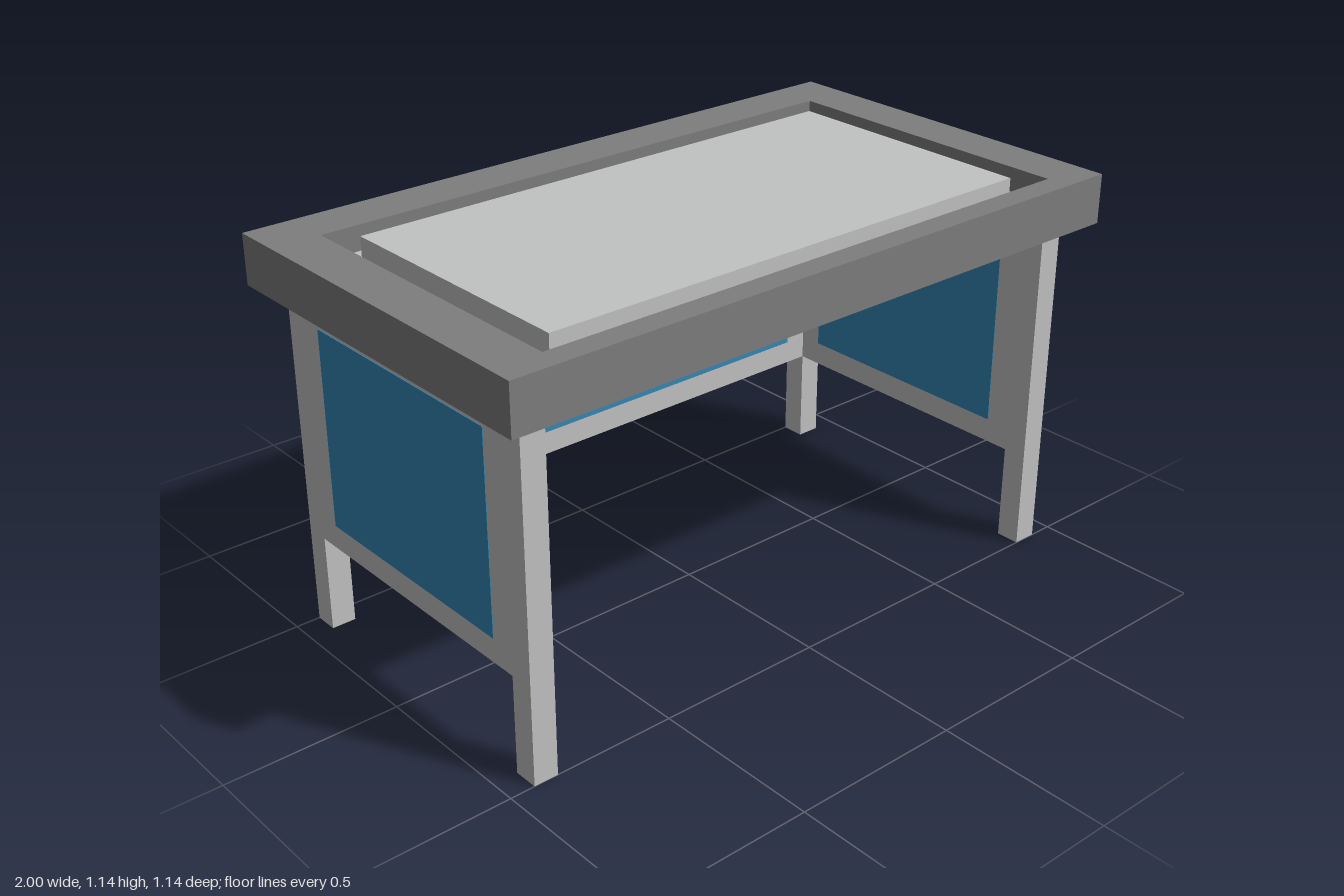
import * as THREE from 'three';

export function createModel() {
  const model = new THREE.Group();
  model.name = 'desk';

  const lightGrey = new THREE.MeshStandardMaterial({ name: 'lightGrey', color: 0xc1c3c2 });
  const darkGrey = new THREE.MeshStandardMaterial({ name: 'darkGrey', color: 0x7e7e7e });
  const blue = new THREE.MeshStandardMaterial({ name: 'blue', color: 0x3588b7 });

  // All sizes are multiples of one module, 1/14 unit.
  const U = 1 / 14;

  // Box given by its lower and upper corners, in modules.
  function box(name, material, [x0, y0, z0], [x1, y1, z1]) {
    const mesh = new THREE.Mesh(
      new THREE.BoxGeometry((x1 - x0) * U, (y1 - y0) * U, (z1 - z0) * U), material);
    mesh.position.set((x0 + x1) / 2 * U, (y0 + y1) / 2 * U, (z0 + z1) / 2 * U);
    mesh.name = name;
    model.add(mesh);
  }

  // Legs and side panels, mirrored left and right
  const T = 0.03; // how far a blue inlay stands proud of its panel
  for (const [side, s] of [['left', 1], ['right', -1]]) {
    const x0 = s > 0 ? 12 : -13;
    const x1 = x0 + 1;
    box(side + 'FrontLeg', lightGrey, [x0, 0, 6], [x1, 14, 7]);
    box(side + 'BackLeg', lightGrey, [x0, 0, -7], [x1, 14, -6]);
    box(side + 'Panel', lightGrey, [x0, 4, -6], [x1, 14, 6]);
    box(side + 'InlayLow', blue, [x0 - T, 5, -5], [x0, 13, 5]);
    box(side + 'InlayHigh', blue, [x1, 5, -5], [x1 + T, 13, 5]);
  }

  // Back panel with an inlay on each face
  box('backPanel', lightGrey, [-12, 4, -7], [12, 14, -6]);
  box('backInlayInside', blue, [-11, 5, -6], [11, 13, -6 + T]);
  box('backInlayOutside', blue, [-11, 5, -7 - T], [11, 13, -7]);

  // Table top frame: a rim around an opening set towards the front
  const rim = new THREE.Shape();
  rim.moveTo(-14 * U, -8 * U).lineTo(14 * U, -8 * U).lineTo(14 * U, 8 * U).lineTo(-14 * U, 8 * U).closePath();
  const opening = new THREE.Path();
  opening.moveTo(-12 * U, -7 * U).lineTo(-12 * U, 6 * U).lineTo(12 * U, 6 * U).lineTo(12 * U, -7 * U).closePath();
  rim.holes.push(opening);
  const frameGeometry = new THREE.ExtrudeGeometry(rim, { depth: 2 * U, bevelEnabled: false });
  frameGeometry.rotateX(-Math.PI / 2);
  const frame = new THREE.Mesh(frameGeometry, darkGrey);
  frame.position.y = 14 * U;
  frame.name = 'topFrame';
  model.add(frame);

  // Groove floor and the writing surface standing in it
  box('grooveFloor', lightGrey, [-12, 14, -6], [12, 15, 7]);
  box('writingSurface', lightGrey, [-11, 15, -5], [11, 16, 6]);

  return model;
}
